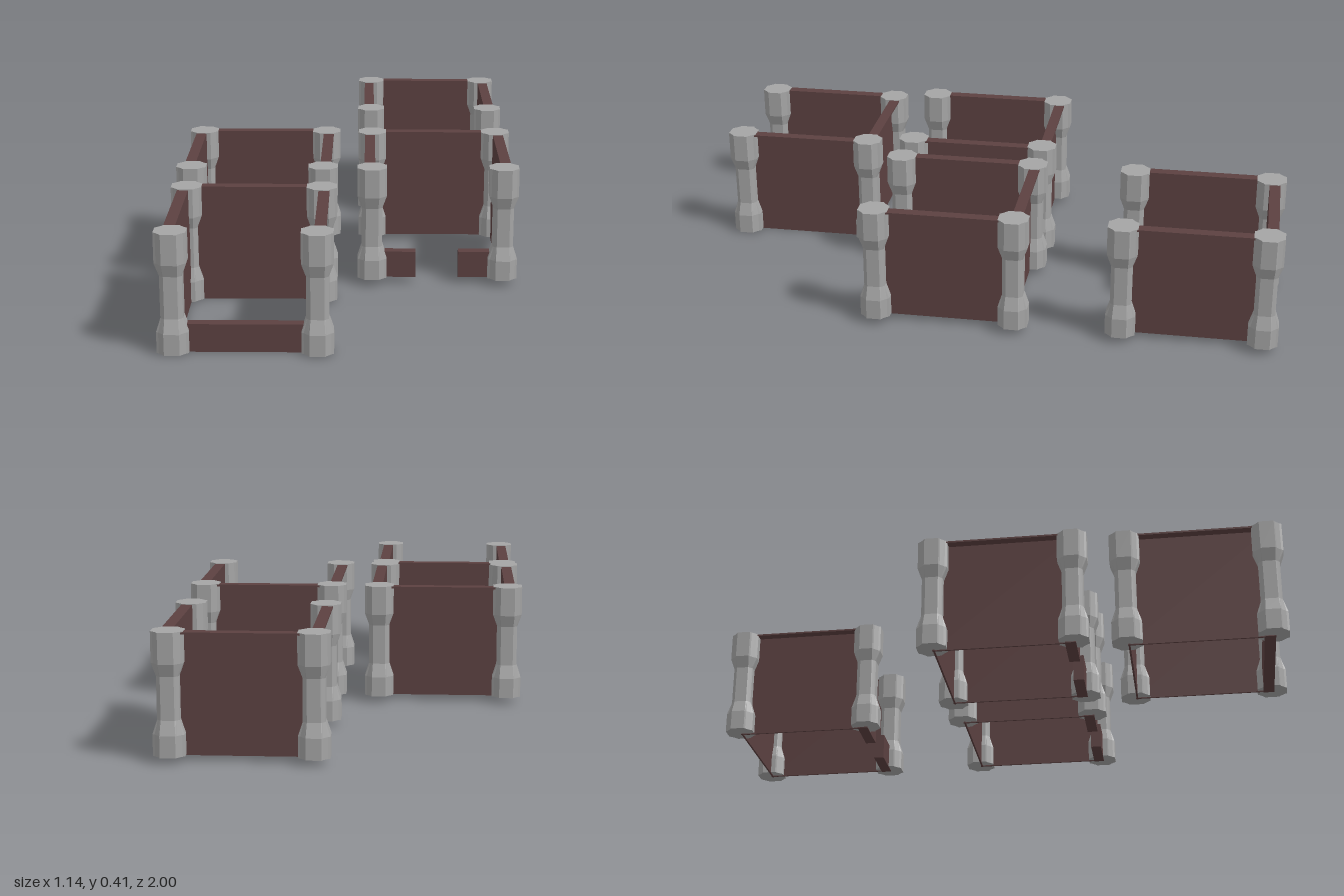
import * as THREE from 'three';

const wallMat = new THREE.MeshStandardMaterial({ color: 0x5c4141, side: THREE.DoubleSide });
wallMat.name = 'dark brown wall';
const stoneMat = new THREE.MeshStandardMaterial({ color: 0xa4a4a4 });
stoneMat.name = 'grey stone';

const HEIGHT = 0.385;
const THICK = 0.036;
const PANEL = 0.006;

// Cross-sections of a post: height, reach and half width of the four main
// flats, then the far and near coordinate of the diagonal flats
const POST_RINGS = [
  [0, 0.049, 0.024, 0.042, 0.028],
  [0.068, 0.049, 0.024, 0.042, 0.028],
  [0.113, 0.0345, 0.021, 0.031, 0.025],
  [0.248, 0.0345, 0.021, 0.031, 0.025],
  [0.288, 0.049, 0.024, 0.042, 0.028],
  [HEIGHT, 0.049, 0.024, 0.042, 0.028],
];

// Ring with four main flats and a set-back diagonal flat at each corner
function ring([y, a, f, p, q]) {
  const points = [];
  for (let k = 0; k < 4; k++) {
    const c = Math.round(Math.cos(k * Math.PI / 2));
    const s = Math.round(Math.sin(k * Math.PI / 2));
    for (const [u, v] of [[a, -f], [a, f], [p, q], [q, p]]) {
      points.push([u * c - v * s, y, u * s + v * c]);
    }
  }
  return points;
}

function postGeometry() {
  const rings = POST_RINGS.map(ring);
  const pos = [];
  const tri = (...corners) => corners.forEach((p) => pos.push(...p));
  const top = rings[rings.length - 1];
  const count = top.length;
  for (let i = 0; i < count; i++) {
    const j = (i + 1) % count;
    for (let r = 0; r < rings.length - 1; r++) {
      const lo = rings[r], hi = rings[r + 1];
      tri(lo[i], hi[i], lo[j]);
      tri(lo[j], hi[i], hi[j]);
    }
    tri([0, 0, 0], rings[0][i], rings[0][j]);
    tri([0, HEIGHT, 0], top[j], top[i]);
  }
  const geo = new THREE.BufferGeometry();
  geo.setAttribute('position', new THREE.Float32BufferAttribute(pos, 3));
  geo.computeVertexNormals();
  return geo;
}

// Box given by its limits along x, y and z
function block(name, x0, x1, y0, y1, z0, z1) {
  const mesh = new THREE.Mesh(new THREE.BoxGeometry(x1 - x0, y1 - y0, z1 - z0), wallMat);
  mesh.position.set((x0 + x1) / 2, (y0 + y1) / 2, (z0 + z1) / 2);
  mesh.name = name;
  return mesh;
}

// Full wall facing -z: a thin panel on the room side under an overhanging coping
function fullWall(name, halfLength, distance) {
  const g = new THREE.Group();
  g.name = name;
  const outer = -distance - THICK / 2, inner = -distance + THICK / 2;
  const top = HEIGHT - 0.002, under = top - 0.006;
  g.add(
    block('panel', -halfLength, halfLength, -0.003, under, inner - PANEL, inner),
    block('coping', -halfLength, halfLength, under, top, outer, inner),
  );
  return g;
}

// One square room: four posts, three full walls and a low front wall
function room(name, x, y, z, postGeo, hasGap) {
  const g = new THREE.Group();
  g.name = name;
  g.position.set(x, y, z);
  const hx = 0.22, hz = 0.231, t = THICK / 2;
  for (const sx of [-1, 1]) {
    for (const sz of [-1, 1]) {
      const post = new THREE.Mesh(postGeo, stoneMat);
      post.name = 'cornerPost';
      post.position.set(sx * hx, 0, sz * hz);
      g.add(post);
    }
    const side = fullWall(sx > 0 ? 'leftWall' : 'rightWall', hz, hx + 0.008);
    side.rotation.y = -sx * Math.PI / 2;
    g.add(side);
  }
  g.add(fullWall('backWall', hx, hz + 0.01));

  const front = hz - 0.012, low = 0.087;
  const spans = hasGap ? [[-hx, -0.072], [0.072, hx]] : [[-hx, hx]];
  for (const [x0, x1] of spans) {
    g.add(block('lowFrontWall', x0, x1, -0.003, low, front - t, front + t));
  }
  return g;
}

export function createModel() {
  const model = new THREE.Group();
  model.name = 'walledRooms';
  const post = postGeometry();
  model.add(
    room('frontRoom', -0.3, 0.004, 0.72, post, false),
    room('middleRightRoom', -0.301, 0.023, 0.087, post, true),
    room('middleLeftRoom', 0.303, 0.023, 0.095, post, true),
    room('backRoom', 0.298, 0.022, -0.721, post, true),
  );
  return model;
}
